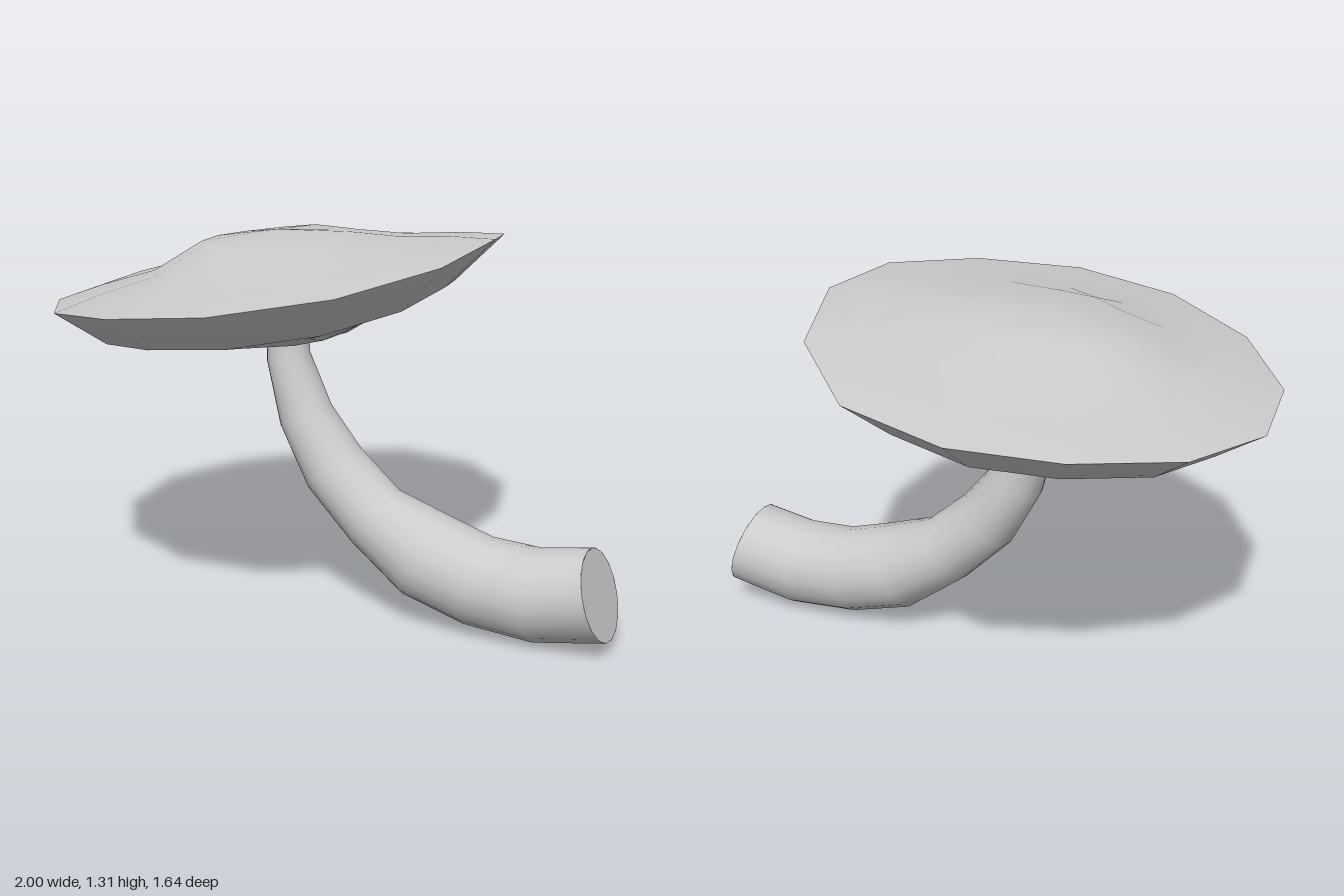
import * as THREE from 'three';
import { mergeVertices } from 'three/addons/utils/BufferGeometryUtils.js';

// Smooth skin over closed rings of equal point count, outward when rings run downwards
function loft(rings) {
  const n = rings[0].length, index = [];
  for (let i = 0; i < rings.length - 1; i++) {
    for (let j = 0; j < n; j++) {
      const a = i * n + j, b = i * n + (j + 1) % n;
      index.push(a, b, a + n, b, b + n, a + n);
    }
  }
  const geo = new THREE.BufferGeometry();
  geo.setAttribute('position', new THREE.Float32BufferAttribute(rings.flat(2), 3));
  geo.setIndex(index);
  const welded = mergeVertices(geo, 1e-4);
  welded.computeVertexNormals();
  return welded;
}

// Uneven, tilted 13-sided rim of the cap
const RIM = [
  [-0.24, 1.165, -0.82], [0.13, 1.2, -0.74], [0.4, 1.265, -0.47], [0.51, 1.31, -0.1],
  [0.49, 1.28, 0.3], [0.29, 1.225, 0.63], [-0.04, 1.175, 0.82], [-0.41, 1.13, 0.8],
  [-0.74, 1.08, 0.61], [-0.96, 1.045, 0.28], [-1, 1.04, -0.09], [-0.85, 1.06, -0.41],
  [-0.56, 1.11, -0.67],
];
const CX = -0.245, CY = 1.16;

// Rim shrunk towards the cap centre, raised by lift and sloped along x and z
function capRing([r, lift, slopeX = 0, slopeZ = 0]) {
  return RIM.map(([x, y, z]) => {
    const dx = (x - CX) * r, dz = z * r;
    return [CX + dx, CY + (y - CY) * r + lift + slopeX * dx + slopeZ * dz, dz];
  });
}

// Round stem section spanning an outer and an inner edge point
const SIDES = 16, STEM_Z = 0.03;
function stemRing([ox, oy, ix, iy]) {
  const cx = (ox + ix) / 2, cy = (oy + iy) / 2;
  const r = Math.hypot(ix - ox, iy - oy) / 2;
  return Array.from({ length: SIDES }, (_, j) => {
    const a = (j / SIDES) * Math.PI * 2, c = Math.cos(a);
    return [cx + (ix - cx) * c, cy + (iy - cy) * c, STEM_Z + r * Math.sin(a)];
  });
}

export function createModel() {
  const group = new THREE.Group();
  const material = new THREE.MeshStandardMaterial({ color: 0xcccccc, side: THREE.DoubleSide });
  const add = (name, geo) => {
    const mesh = new THREE.Mesh(geo, material);
    mesh.name = name;
    group.add(mesh);
    return mesh;
  };

  // Mushroom cap: low dome and deeper underside meeting at a sharp rim
  const top = [[0, 0.143], [0.34, 0.118, -0.08], [0.56, 0.058], [0.8, 0.032], [1, 0]];
  const underside = [[1, 0], [0.78, -0.137], [0.55, -0.175], [0.3, -0.235, -0.06, 0.09], [0, -0.215]];
  add('capTop', loft(top.map(capRing)));
  add('capUnderside', loft(underside.map(capRing)));

  // Stem sections from the cap down to the cut base: outer x, y, inner x, y
  const sections = [
    [-0.26, 0.98, -0.12, 0.98],
    [-0.265, 0.86, -0.115, 0.89],
    [-0.21, 0.63, -0.035, 0.71],
    [-0.1, 0.42, 0.075, 0.57],
    [0.07, 0.245, 0.22, 0.44],
    [0.27, 0.09, 0.4, 0.375],
    [0.5, 0.02, 0.56, 0.325],
    [0.75, 0, 0.73, 0.315],
    [1.0, 0.045, 0.91, 0.345],
  ];
  add('stem', loft(sections.map(stemRing)));

  // Flat cut face closing the base of the stem
  const [ox, oy, ix, iy] = sections[sections.length - 1];
  const base = add('stemBase', new THREE.CircleGeometry(Math.hypot(ix - ox, iy - oy) / 2, SIDES));
  base.position.set((ox + ix) / 2, (oy + iy) / 2, STEM_Z);
  base.quaternion.setFromUnitVectors(
    new THREE.Vector3(0, 0, 1),
    new THREE.Vector3(iy - oy, ox - ix, 0).normalize());
  return group;
}
